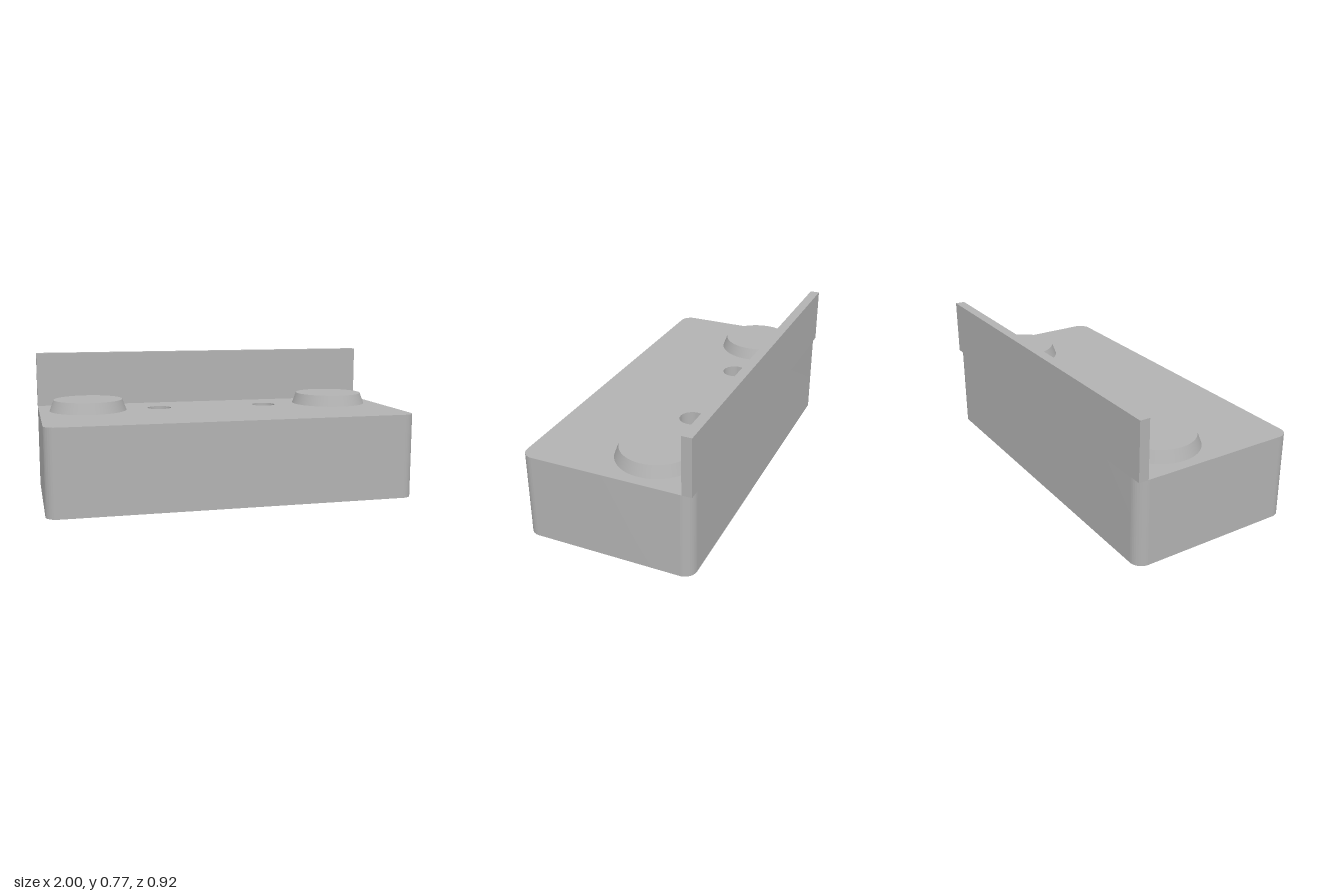
import * as THREE from 'three';
import { toCreasedNormals } from 'three/addons/utils/BufferGeometryUtils.js';

const W = 1, D = 0.46, H = 0.465, R = 0.065; // body half width, half depth, height, corner radius
const BORE = 0.12, SMALL = 0.068, DEPTH = 0.3, SEG = 24;
const MOUNT_X = 0.316, MOUNT_Z = -0.163;

// rounded rectangle outline with round holes [x, y, radius]
function plate(holes = []) {
  const s = new THREE.Shape();
  s.absarc(W - R, D - R, R, 0, Math.PI / 2);
  s.absarc(-W + R, D - R, R, Math.PI / 2, Math.PI);
  s.absarc(-W + R, -D + R, R, Math.PI, Math.PI * 1.5);
  s.absarc(W - R, -D + R, R, Math.PI * 1.5, Math.PI * 2);
  for (const [x, y, r] of holes) {
    const p = new THREE.Path();
    p.absarc(x, y, r, 0, Math.PI * 2, true);
    s.holes.push(p);
  }
  return s;
}

// side faces of the extruded outline, without its caps
function sideWall() {
  const g = new THREE.ExtrudeGeometry(plate(), { depth: H, bevelEnabled: false, curveSegments: SEG });
  const { start, count } = g.groups[1];
  const wall = new THREE.BufferGeometry();
  wall.setAttribute('position', new THREE.BufferAttribute(
    g.attributes.position.array.slice(start * 3, (start + count) * 3), 3));
  return toCreasedNormals(wall.rotateX(-Math.PI / 2), 0.6);
}

// inward facing hole lining, profile listed from top to bottom
function lining(profile) {
  const pts = profile.map(([r, y]) => new THREE.Vector2(r, y));
  return toCreasedNormals(new THREE.LatheGeometry(pts, SEG * 2), 0.6);
}

export function createModel() {
  const model = new THREE.Group();
  const grey = new THREE.MeshStandardMaterial({ color: 0xb2b2b2 });
  grey.name = 'grey';

  const add = (name, geometry, x = 0, y = 0, z = 0) => {
    const mesh = new THREE.Mesh(geometry, grey);
    mesh.name = name;
    mesh.position.set(x, y, z);
    model.add(mesh);
  };

  // block body
  add('bodySides', sideWall());
  const topHoles = [-1, 1].map(s => [s * MOUNT_X, -MOUNT_Z, SMALL]);
  add('bodyTop', new THREE.ShapeGeometry(plate(topHoles), SEG).rotateX(-Math.PI / 2), 0, H);
  const bottomHoles = [-1, 1].map(s => [s * MOUNT_X, MOUNT_Z, BORE]);
  bottomHoles.push([0, 0.18, BORE]);
  add('bodyBottom', new THREE.ShapeGeometry(plate(bottomHoles), SEG).rotateX(Math.PI / 2));

  // counterbored through holes and tapered round pads, mirrored
  for (const s of [-1, 1]) {
    const side = s > 0 ? 'left' : 'right';
    add(side + 'MountingHole',
      lining([[SMALL, H], [SMALL, DEPTH], [BORE, DEPTH], [BORE, 0]]), s * MOUNT_X, 0, MOUNT_Z);
    add(side + 'Pad', new THREE.CylinderGeometry(0.193, 0.216, 0.062, 64),
      s * 0.726, H + 0.031, -0.16);
  }

  // blind hole underneath
  add('blindHole', lining([[0, DEPTH], [BORE, DEPTH], [BORE, 0]]), 0, 0, 0.18);

  // upright back fence
  add('backFence', new THREE.BoxGeometry(2 * W, 0.31, 0.053), 0, H + 0.155, -D + 0.0265);

  return model;
}
